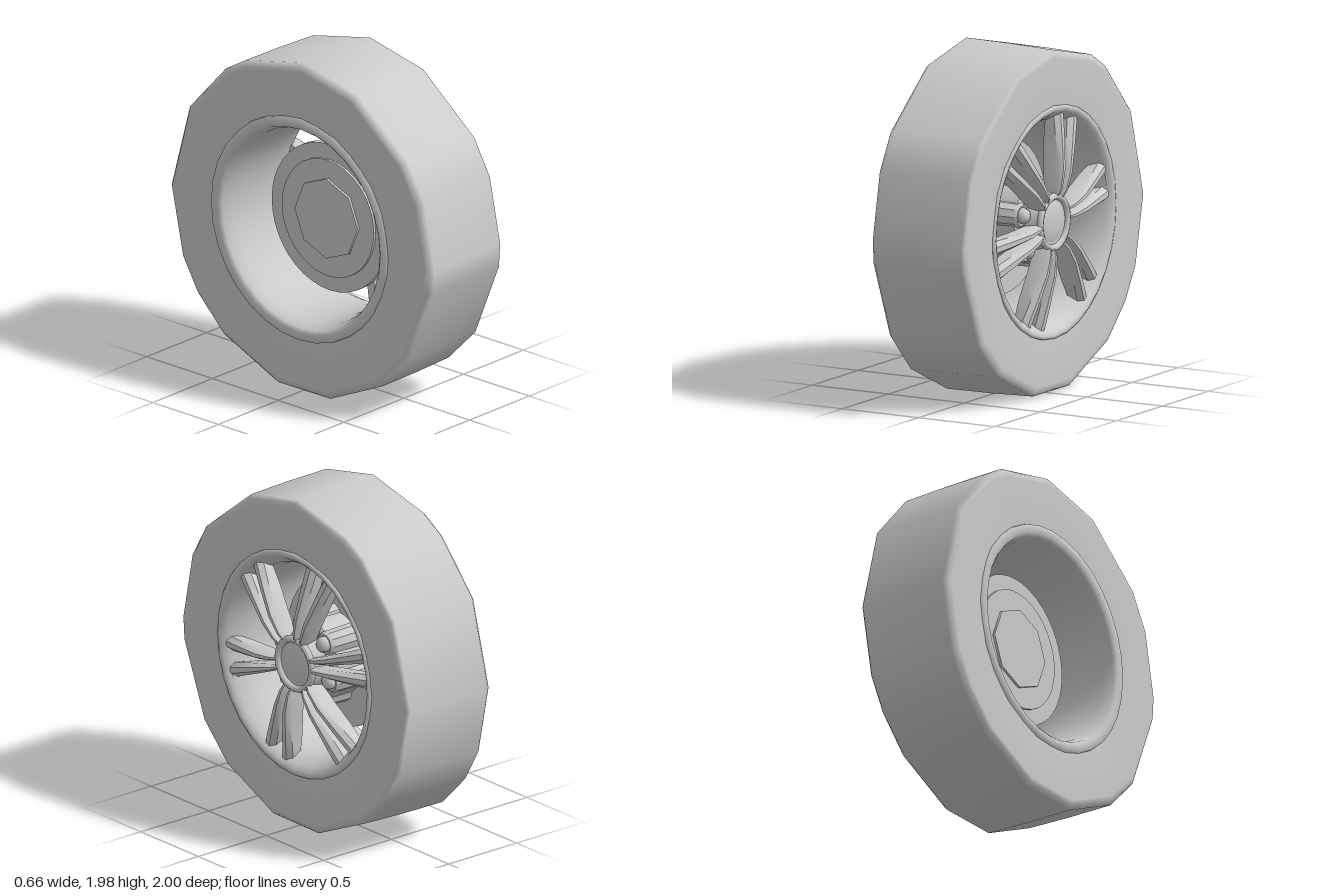
import * as THREE from 'three';
import { toCreasedNormals } from 'three/addons/utils/BufferGeometryUtils.js';

const grey = new THREE.MeshStandardMaterial({ color: 0xcccccc });
const greyDouble = new THREE.MeshStandardMaterial({ color: 0xcccccc, side: THREE.DoubleSide });
const rad = THREE.MathUtils.degToRad;

// Point on the wheel: x along the axle, r and a (radians) around it, t sideways
function polar(x, r, a, t = 0) {
  return new THREE.Vector3(x, r * Math.sin(a) + t * Math.cos(a), -r * Math.cos(a) + t * Math.sin(a));
}

// Skin a series of closed loops, optionally closing both ends
function loft(loops, capped) {
  const n = loops[0].length, pts = loops.flat(), index = [];
  for (let i = 0; i < loops.length - 1; i++) {
    for (let j = 0; j < n; j++) {
      const a = i * n + j, b = i * n + (j + 1) % n;
      index.push(a, b, a + n, b, b + n, a + n);
    }
  }
  if (capped) {
    const last = (loops.length - 1) * n;
    for (let j = 1; j < n - 1; j++) {
      index.push(0, j + 1, j, last, last + j, last + j + 1);
    }
  }
  const geo = new THREE.BufferGeometry().setFromPoints(pts);
  geo.setIndex(index);
  geo.computeVertexNormals();
  return geo;
}

// Lathe around the axle from [x, radius] pairs
function turned(profile, segments) {
  const pts = profile.map(([x, r]) => new THREE.Vector2(r, x));
  return new THREE.LatheGeometry(pts, segments).rotateZ(-Math.PI / 2);
}

function add(parent, name, geometry, material = grey) {
  const mesh = new THREE.Mesh(geometry, material);
  mesh.name = name;
  parent.add(mesh);
  return mesh;
}

export function createModel() {
  const wheel = new THREE.Group();
  wheel.name = 'wheel';
  wheel.position.y = 1;

  // Tyre: coarse, uneven outline with smooth shading
  const corners = [0, 30.5, 54, 64, 90, 114, 143, 157, 180, 188, 216, 233, 258, 281, 307, 323, 336];
  const tyreProfile = [
    [-0.3, 0.63], [-0.318, 0.68], [-0.32, 0.95], [-0.315, 0.975], [-0.29, 1],
    [0, 0.997], [0.27, 0.988], [0.287, 0.97], [0.292, 0.94], [0.29, 0.68], [0.27, 0.63],
  ];
  add(wheel, 'tyre', loft(tyreProfile.map(([x, r]) => corners.map((d) => polar(x, r, rad(d))))));

  // Rim: front lip, open barrel and back lip
  const rimProfile = [
    [0.27, 0.67], [0.293, 0.667], [0.298, 0.65], [0.29, 0.63], [0.265, 0.61], [0.2, 0.575],
    [0.1, 0.56], [-0.1, 0.562], [-0.25, 0.58], [-0.31, 0.6], [-0.328, 0.62], [-0.33, 0.665], [-0.3, 0.67],
  ];
  add(wheel, 'rim', turned(rimProfile, 32), greyDouble);

  // Brake disc with a raised step on the back
  add(wheel, 'brakeDisc', new THREE.CylinderGeometry(0.44, 0.44, 0.04, 40).rotateZ(-Math.PI / 2)).position.x = -0.05;
  add(wheel, 'brakeHat', new THREE.CylinderGeometry(0.35, 0.35, 0.02, 32).rotateZ(-Math.PI / 2)).position.x = -0.075;
  add(wheel, 'axleFlange', new THREE.CylinderGeometry(0.24, 0.24, 0.02, 8).rotateZ(-Math.PI / 2)).position.x = -0.09;

  // Hub: stepped body, ring and domed cap
  const hubProfile = [[-0.04, 0.24], [0.17, 0.24], [0.19, 0.22], [0.2, 0.18], [0.28, 0.16], [0.28, 0]];
  add(wheel, 'hub', toCreasedNormals(turned(hubProfile, 24), 0.6));
  add(wheel, 'hubRing', new THREE.TorusGeometry(0.148, 0.02, 8, 24).rotateY(Math.PI / 2)).position.x = 0.285;
  const cap = add(wheel, 'hubCap', new THREE.SphereGeometry(0.135, 20, 12));
  cap.position.x = 0.262;
  cap.scale.x = 0.25;

  // Spoke stations: radius, sideways offset, half width, front x, depth
  const stations = [
    [0.15, 0.026, 0.015, 0.31, 0.1], [0.19, 0.03, 0.019, 0.326, 0.12], [0.3, 0.04, 0.027, 0.33, 0.13],
    [0.46, 0.059, 0.036, 0.307, 0.12], [0.57, 0.073, 0.042, 0.288, 0.1], [0.645, 0.08, 0.036, 0.272, 0.08],
  ];
  for (let i = 0; i < 6; i++) {
    const angle = rad(13 + 60 * i);
    const pair = new THREE.Group();
    pair.name = 'spokePair';
    wheel.add(pair);
    // Two mirrored tapering spokes with a ridged face
    for (const side of [-1, 1]) {
      const loops = stations.map(([r, offset, w, front, depth]) => [
        [0.75, front - depth], [1, front - 0.035], [0.4, front - 0.004],
        [-0.4, front - 0.004], [-1, front - 0.035], [-0.75, front - depth],
      ].map(([k, x]) => polar(x, r, angle, side * offset + k * w)));
      add(pair, 'spoke', toCreasedNormals(loft(loops, true), 0.7));
    }

    // Lug seat and rounded nut between neighbouring pairs
    const seatAngle = angle + rad(30);
    const seat = add(wheel, 'lugSeat', toCreasedNormals(
      turned([[-0.03, 0.075], [0.19, 0.07], [0.205, 0.06], [0.2, 0.045], [0.17, 0]], 10), 0.6));
    seat.position.copy(polar(0, 0.215, seatAngle));
    const nut = add(wheel, 'lugNut', turned(
      [[0.16, 0.048], [0.215, 0.048], [0.235, 0.038], [0.245, 0.018], [0.247, 0]], 8));
    nut.position.copy(polar(0, 0.215, seatAngle));
  }

  const model = new THREE.Group();
  model.name = 'wheelAssembly';
  model.add(wheel);
  return model;
}
